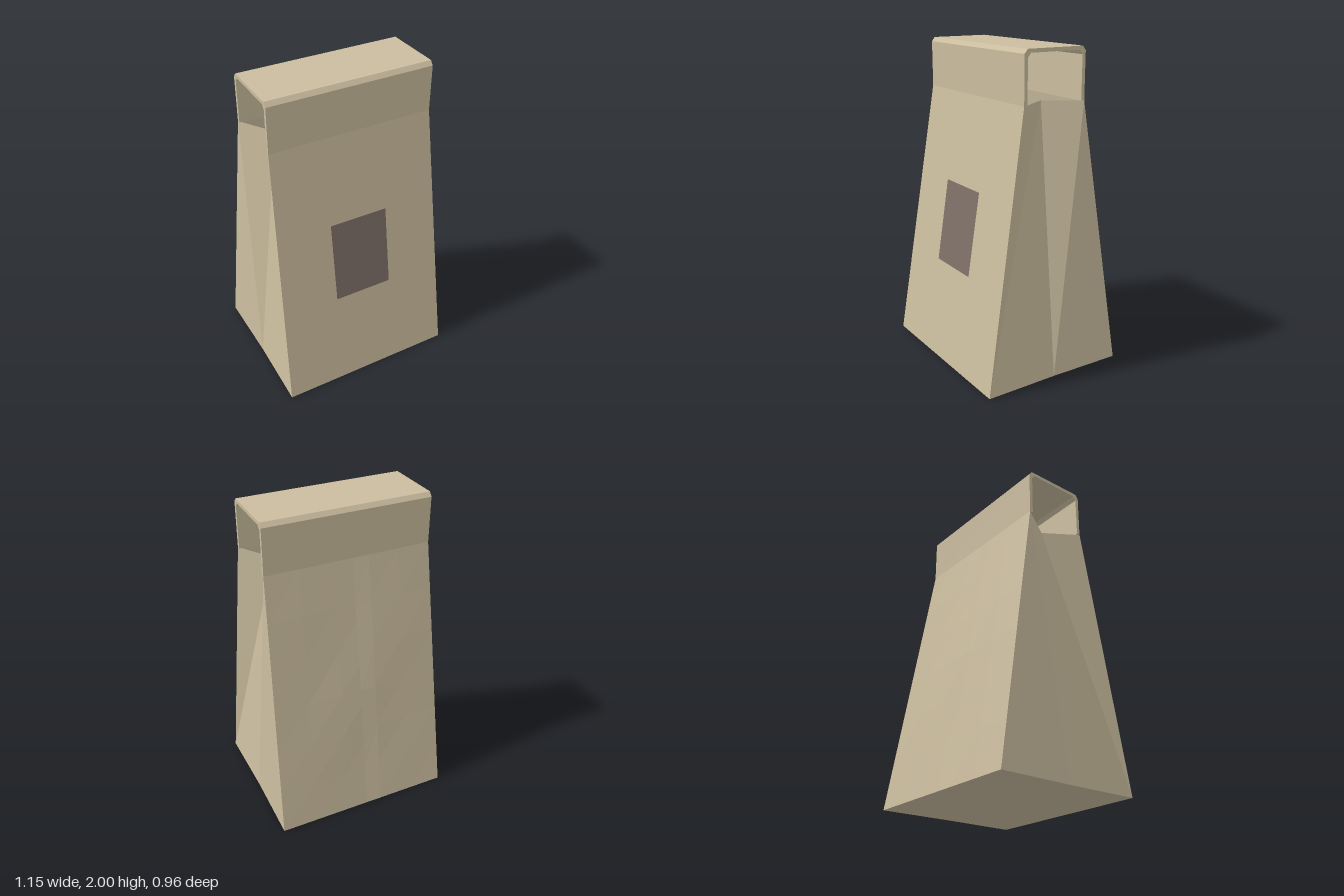
import * as THREE from 'three';

const H = 1.69;                                   // height of the tapered body
const BOT = { x: 0.575, z: 0.475 }, TOP = { x: 0.525, z: 0.21 };
const FOLD_TOP = 0.39, FOLD_BOT = 0.568;          // x of the gusset crease

const paper = new THREE.MeshStandardMaterial({ color: 0xcbbd9f, flatShading: true, side: THREE.DoubleSide });
const dark = new THREE.MeshStandardMaterial({ color: 0x7d7068, flatShading: true, side: THREE.DoubleSide });

const lerp = THREE.MathUtils.lerp;
const halfX = y => lerp(BOT.x, TOP.x, y / H);
const halfZ = y => lerp(BOT.z, TOP.z, y / H);

// Gently crumpled back wall, flat along its edges
function backZ(x, y) {
  const u = (x / halfX(y) + 1) / 2, v = y / H;
  const swell = Math.sin(Math.PI * u) * Math.sin(Math.PI * v);
  return -halfZ(y) - 0.01 * swell * (0.6 + 0.4 * Math.sin(7 * u + 9 * v));
}

// Sheet whose points come from a rule of (u, v), each running 0..1
function sheet(name, material, nu, nv, rule) {
  const geo = new THREE.PlaneGeometry(1, 1, nu, nv);
  const p = geo.attributes.position;
  for (let i = 0; i < p.count; i++) p.setXYZ(i, ...rule(p.getX(i) + 0.5, p.getY(i) + 0.5));
  geo.computeVertexNormals();
  const mesh = new THREE.Mesh(geo, material);
  mesh.name = name;
  return mesh;
}

// Side fold: two triangles on each side of the inward crease
function gusset(side) {
  const pt = (x, y, z) => [side * x, y, z];
  const foldTop = pt(FOLD_TOP, H, 0), foldBot = pt(FOLD_BOT, 0, 0);
  const frontTop = pt(TOP.x, H, TOP.z), frontBot = pt(BOT.x, 0, BOT.z);
  const backTop = pt(TOP.x, H, -TOP.z), backBot = pt(BOT.x, 0, -BOT.z);
  const tris = [
    [frontTop, frontBot, foldTop], [frontBot, foldBot, foldTop],
    [foldTop, foldBot, backTop], [foldBot, backBot, backTop],
  ];
  const points = tris.flatMap(t => (side > 0 ? t : [t[0], t[2], t[1]])).flat();
  const geo = new THREE.BufferGeometry();
  geo.setAttribute('position', new THREE.Float32BufferAttribute(points, 3));
  geo.computeVertexNormals();
  const mesh = new THREE.Mesh(geo, paper);
  mesh.name = side > 0 ? 'leftGusset' : 'rightGusset';
  return mesh;
}

// Folded-over top: a thick upside-down U running across the width
function foldedTop() {
  const t = 0.022, c = 0.026, z = TOP.z, zi = z - t, top = 2, ti = top - t;
  const outline = [
    [-z, H], [-z, top - c], [-z + c * 0.8, top], [z - c * 0.8, top], [z, top - c], [z, H],
    [zi, H], [zi, ti - c], [zi - c * 0.8, ti], [-zi + c * 0.8, ti], [-zi, ti - c], [-zi, H],
  ];
  const shape = new THREE.Shape(outline.map(([a, b]) => new THREE.Vector2(a, b)));
  const geo = new THREE.ExtrudeGeometry(shape, { depth: TOP.x * 2, bevelEnabled: false });
  geo.translate(0, 0, -TOP.x).rotateY(Math.PI / 2);
  const mesh = new THREE.Mesh(geo, paper);
  mesh.name = 'foldedTop';
  return mesh;
}

export function createModel() {
  const bag = new THREE.Group();
  bag.name = 'paperBag';

  // Front and back walls
  bag.add(sheet('frontWall', paper, 1, 1, (u, v) => {
    const y = v * H;
    return [(2 * u - 1) * halfX(y), y, halfZ(y)];
  }));
  bag.add(sheet('backWall', paper, 5, 6, (u, v) => {
    const y = v * H, x = (1 - 2 * u) * halfX(y);
    return [x, y, backZ(x, y)];
  }));

  // Base, following the foot of the gussets
  const base = new THREE.Shape([
    [-BOT.x, -BOT.z], [BOT.x, -BOT.z], [FOLD_BOT, 0], [BOT.x, BOT.z], [-BOT.x, BOT.z], [-FOLD_BOT, 0],
  ].map(([x, z]) => new THREE.Vector2(x, z)));
  const floor = new THREE.Mesh(new THREE.ShapeGeometry(base).rotateX(Math.PI / 2), paper);
  floor.name = 'base';
  bag.add(floor);

  // Side folds and top
  bag.add(gusset(1), gusset(-1), foldedTop());

  // Glued seam strip on the back, lifting slightly at its outer edge
  bag.add(sheet('backSeam', paper, 1, 6, (u, v) => {
    const y = 0.005 + v * (H - 0.01), x = lerp(-0.02, -0.12, u);
    return [x, y, backZ(x, y) - lerp(0.002, 0.007, u)];
  }));

  // Dark panel on the front
  bag.add(sheet('frontLabel', dark, 1, 1, (u, v) => {
    const y = lerp(0.615, 1.137, v);
    return [(2 * u - 1) * 0.19, y, halfZ(y) + 0.003];
  }));

  return bag;
}
